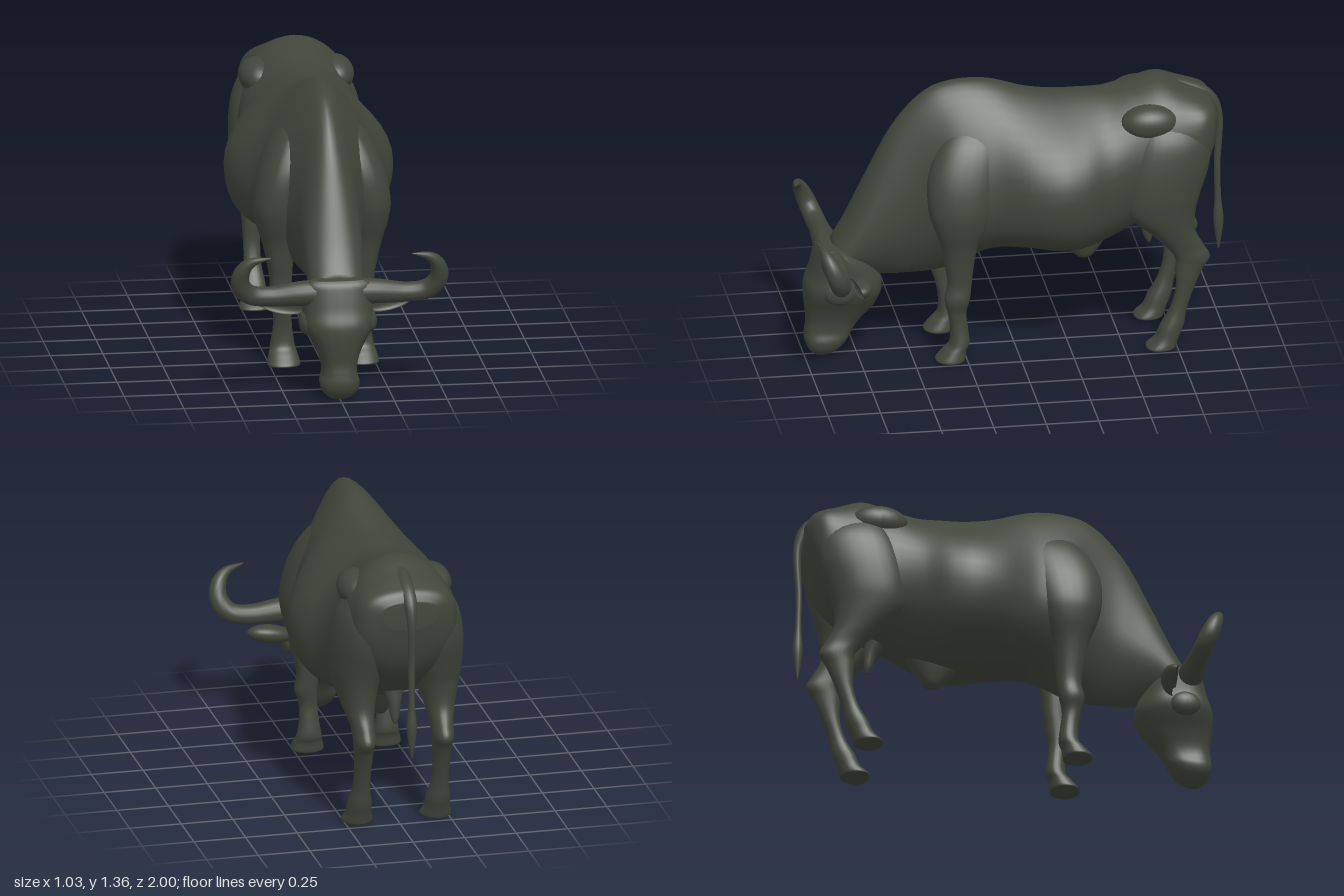
import * as THREE from 'three';

const hide = new THREE.MeshStandardMaterial({ color: 0x41463b });
hide.name = 'darkHide';

const V = (x, y, z) => new THREE.Vector3(x, y, z);
const spow = (v, p) => Math.sign(v) * Math.pow(Math.abs(v), p);

// Smoothly interpolates rows of numbers, column by column
function sampleRows(rows, steps) {
  const out = [], last = rows.length - 1;
  for (let i = 0; i <= last * steps; i++) {
    const k = Math.min(Math.floor(i / steps), last - 1), t = i / steps - k;
    const [a, b, c, d] = [-1, 0, 1, 2].map((o) => rows[Math.min(last, Math.max(0, k + o))]);
    out.push(b.map((q, j) => q + 0.5 * t * (c[j] - a[j]
      + t * (2 * a[j] - 5 * q + 4 * c[j] - d[j] + t * (3 * (q - c[j]) + d[j] - a[j])))));
  }
  return out;
}

// Skins closed rings of points, closes both ends and turns the faces outward
function skin(name, rings) {
  const n = rings[0].length;
  const centre = (r) => r.reduce((s, p) => s.add(p), V(0, 0, 0)).divideScalar(n);
  const pts = [...rings.flat(), centre(rings[0]), centre(rings[rings.length - 1])];
  const index = [], total = rings.length * n, end = total - n;
  for (let i = 0; i < n; i++) {
    const j = (i + 1) % n;
    for (let r = 0; r < end; r += n) {
      index.push(r + i, r + j, r + n + i, r + j, r + n + j, r + n + i);
    }
    index.push(total, j, i, total + 1, end + i, end + j);
  }
  let volume = 0;
  const cross = V(0, 0, 0);
  for (let i = 0; i < index.length; i += 3) {
    volume += pts[index[i]].dot(cross.crossVectors(pts[index[i + 1]], pts[index[i + 2]]));
  }
  if (volume < 0) index.reverse();
  const geo = new THREE.BufferGeometry().setFromPoints(pts);
  geo.setIndex(index);
  geo.computeVertexNormals();
  const mesh = new THREE.Mesh(geo, hide);
  mesh.name = name;
  return mesh;
}

const around = (n, f) => Array.from({ length: n }, (_, i) => {
  const a = (i / n) * Math.PI * 2;
  return f(Math.cos(a), Math.sin(a));
});

// Horizontal slices: y, centre x, centre z, half width, half depth; taper widens the front
function limb(name, rows, side = 1, p = 0.9, taper = 0) {
  return skin(name, sampleRows(rows, 5).map(([y, x, z, rx, rz]) => around(28, (c, s) =>
    V(side * (x + rx * spow(c, p) * (1 + taper * s)), y, z + rz * spow(s, p)))));
}

// Round sweep through points: x, y, z, radius
function sweep(name, rows, ref, side = 1) {
  const s = sampleRows(rows, 8);
  return skin(name, s.map(([x, y, z, r], i) => {
    const from = s[Math.max(0, i - 1)], to = s[Math.min(s.length - 1, i + 1)];
    const dir = V(to[0] - from[0], to[1] - from[1], to[2] - from[2]).normalize();
    const u = V(0, 0, 0).crossVectors(ref, dir).normalize();
    const w = V(0, 0, 0).crossVectors(dir, u);
    return around(16, (c, d) => V(x, y, z).addScaledVector(u, r * c)
      .addScaledVector(w, r * d).multiply(V(side, 1, 1)));
  }));
}

// Upright slices: z, top, bottom, half width, height of widest point, narrowing above and below
const TORSO = [
  [-0.95, 1.18, 1.05, 0.13, 1.13, -0.3, -0.3],
  [-0.925, 1.225, 0.95, 0.2, 1.1, -0.35, -0.3],
  [-0.88, 1.25, 0.84, 0.24, 1.06, -0.4, -0.2],
  [-0.8, 1.285, 0.74, 0.262, 1.0, -0.25, -0.15],
  [-0.68, 1.33, 0.65, 0.285, 0.95, 0, -0.15],
  [-0.55, 1.3, 0.59, 0.29, 0.92, 0.05, -0.15],
  [-0.42, 1.275, 0.53, 0.325, 0.88, 0.3, -0.15],
  [-0.3, 1.275, 0.5, 0.38, 0.86, 0.45, -0.2],
  [-0.18, 1.277, 0.5, 0.4, 0.85, 0.45, -0.2],
  [-0.05, 1.3, 0.52, 0.375, 0.84, 0.45, -0.17],
  [0.1, 1.347, 0.52, 0.31, 0.82, 0.4, -0.1],
  [0.2, 1.36, 0.48, 0.29, 0.8, 0.4, 0.1],
  [0.3, 1.355, 0.42, 0.26, 0.8, 0.4, 0.25],
  [0.4, 1.325, 0.395, 0.2, 0.8, 0.3, 0.3],
  [0.5, 1.245, 0.39, 0.163, 0.75, 0.2, 0.3],
  [0.6, 1.11, 0.39, 0.148, 0.68, 0.1, 0.3],
  [0.7, 0.91, 0.4, 0.14, 0.62, 0, 0.2],
  [0.8, 0.7, 0.42, 0.13, 0.54, 0, 0],
  [0.87, 0.575, 0.45, 0.11, 0.5, 0, 0],
];

const HEAD = [
  [0.573, 0, 0.88, 0.13, 0.04], [0.55, 0, 0.86, 0.16, 0.08],
  [0.5, 0, 0.828, 0.162, 0.128], [0.43, 0, 0.815, 0.162, 0.16],
  [0.37, 0, 0.815, 0.166, 0.182], [0.32, 0, 0.818, 0.152, 0.183],
  [0.25, 0, 0.832, 0.113, 0.165], [0.18, 0, 0.86, 0.087, 0.13],
  [0.13, 0, 0.88, 0.083, 0.115], [0.085, 0, 0.894, 0.094, 0.104],
  [0.045, 0, 0.903, 0.084, 0.083], [0.015, 0, 0.91, 0.056, 0.052], [0, 0, 0.91, 0.025, 0.025],
];

const FRONT_LEG = [
  [1.22, 0.08, 0.2, 0.03, 0.06], [1.1, 0.14, 0.22, 0.085, 0.15],
  [0.95, 0.185, 0.26, 0.11, 0.175], [0.8, 0.21, 0.28, 0.115, 0.16],
  [0.7, 0.215, 0.285, 0.1, 0.13], [0.6, 0.21, 0.29, 0.075, 0.088],
  [0.5, 0.2, 0.29, 0.062, 0.07], [0.4, 0.195, 0.288, 0.052, 0.058],
  [0.32, 0.2, 0.3, 0.054, 0.06], [0.25, 0.19, 0.3, 0.044, 0.045],
  [0.18, 0.187, 0.29, 0.046, 0.042], [0.1, 0.187, 0.287, 0.058, 0.047],
  [0.06, 0.187, 0.31, 0.068, 0.055], [0.02, 0.187, 0.33, 0.079, 0.07],
  [0.01, 0.187, 0.33, 0.075, 0.066],
];

const HIND_LEG = [
  [1.2, 0.14, -0.7, 0.06, 0.1], [1.08, 0.17, -0.72, 0.11, 0.18],
  [0.95, 0.185, -0.7, 0.125, 0.205], [0.8, 0.19, -0.67, 0.125, 0.19],
  [0.7, 0.195, -0.67, 0.105, 0.165], [0.6, 0.195, -0.725, 0.075, 0.11],
  [0.52, 0.19, -0.785, 0.055, 0.09], [0.46, 0.19, -0.822, 0.05, 0.083],
  [0.4, 0.19, -0.805, 0.045, 0.065], [0.3, 0.19, -0.785, 0.04, 0.043],
  [0.2, 0.19, -0.755, 0.042, 0.04], [0.12, 0.19, -0.725, 0.056, 0.055],
  [0.06, 0.19, -0.7, 0.062, 0.057], [0.02, 0.19, -0.673, 0.074, 0.071],
  [0.01, 0.19, -0.673, 0.07, 0.067],
];

const HORN = [
  [0.06, 0.51, 0.875, 0.062], [0.18, 0.507, 0.876, 0.059], [0.32, 0.498, 0.875, 0.048],
  [0.42, 0.512, 0.885, 0.047], [0.47, 0.57, 0.91, 0.045], [0.464, 0.642, 0.94, 0.037],
  [0.42, 0.692, 0.965, 0.022], [0.335, 0.714, 0.988, 0.003],
];

const SHEATH = [
  [0.62, 0, -0.33, 0.1, 0.18], [0.53, 0, -0.325, 0.075, 0.125],
  [0.47, 0, -0.33, 0.055, 0.08], [0.425, 0, -0.335, 0.035, 0.04], [0.41, 0, -0.335, 0.012, 0.015],
];

// Smooth lump, moulded by an optional rule on its unit-ball points
function lump(name, side, [x, y, z], [rx, ry, rz], rule = (d) => d) {
  const geo = new THREE.SphereGeometry(1, 28, 18), p = geo.attributes.position;
  for (let i = 0; i < p.count; i++) p.setZ(i, rule(p.getZ(i)));
  geo.scale(rx, ry, rz);
  geo.computeVertexNormals();
  const mesh = new THREE.Mesh(geo, hide);
  mesh.name = name;
  mesh.position.set(side * x, y, z);
  return mesh;
}

// Leaf-shaped ear with its front pushed in to form a cup
function ear(side) {
  const mesh = lump('ear', side, [0.255, 0.425, 0.785], [0.115, 0.046, 0.07], (d) => (d > 0 ? -0.35 * d : d));
  mesh.rotation.set(0.3, side * 0.15, side * 0.14);
  return mesh;
}

export function createModel() {
  const model = new THREE.Group();
  model.name = 'grazingBull';

  // Body with hump and lowered neck
  model.add(skin('body', sampleRows(TORSO, 5).map(([z, top, low, w, mid, above, below]) =>
    around(48, (c, s) => V(w * c * (1 - (s > 0 ? above : below) * s * s),
      mid + s * (s > 0 ? top - mid : mid - low), z)))));

  model.add(limb('head', HEAD, 1, 0.8, 0.12));

  // Tail root, tail and tuft
  const across = V(1, 0, 0);
  model.add(sweep('tail', [
    [0, 1.27, -0.68, 0.04], [0, 1.25, -0.8, 0.042], [0, 1.195, -0.92, 0.037],
    [0, 1.08, -0.975, 0.021], [0, 0.85, -0.969, 0.016], [0, 0.68, -0.972, 0.016],
    [0, 0.55, -0.975, 0.024], [0, 0.41, -0.975, 0.003],
  ], across));

  // Underside
  model.add(limb('sheath', SHEATH));
  model.add(sweep('groin', [
    [0, 0.68, -0.58, 0.07], [0, 0.58, -0.625, 0.035], [0, 0.5, -0.64, 0.02], [0, 0.465, -0.645, 0.006],
  ], across));

  // Mirrored parts
  for (const side of [1, -1]) {
    model.add(
      limb('frontLeg', FRONT_LEG, side),
      limb('hindLeg', HIND_LEG, side, 0.9, 0.15),
      lump('hip', side, [0.185, 1.16, -0.62], [0.088, 0.085, 0.14]),
      sweep('horn', HORN, V(0, 0, 1), side),
      ear(side),
      lump('brow', side, [0.145, 0.36, 0.85], [0.04, 0.06, 0.075]),
    );
  }
  return model;
}
